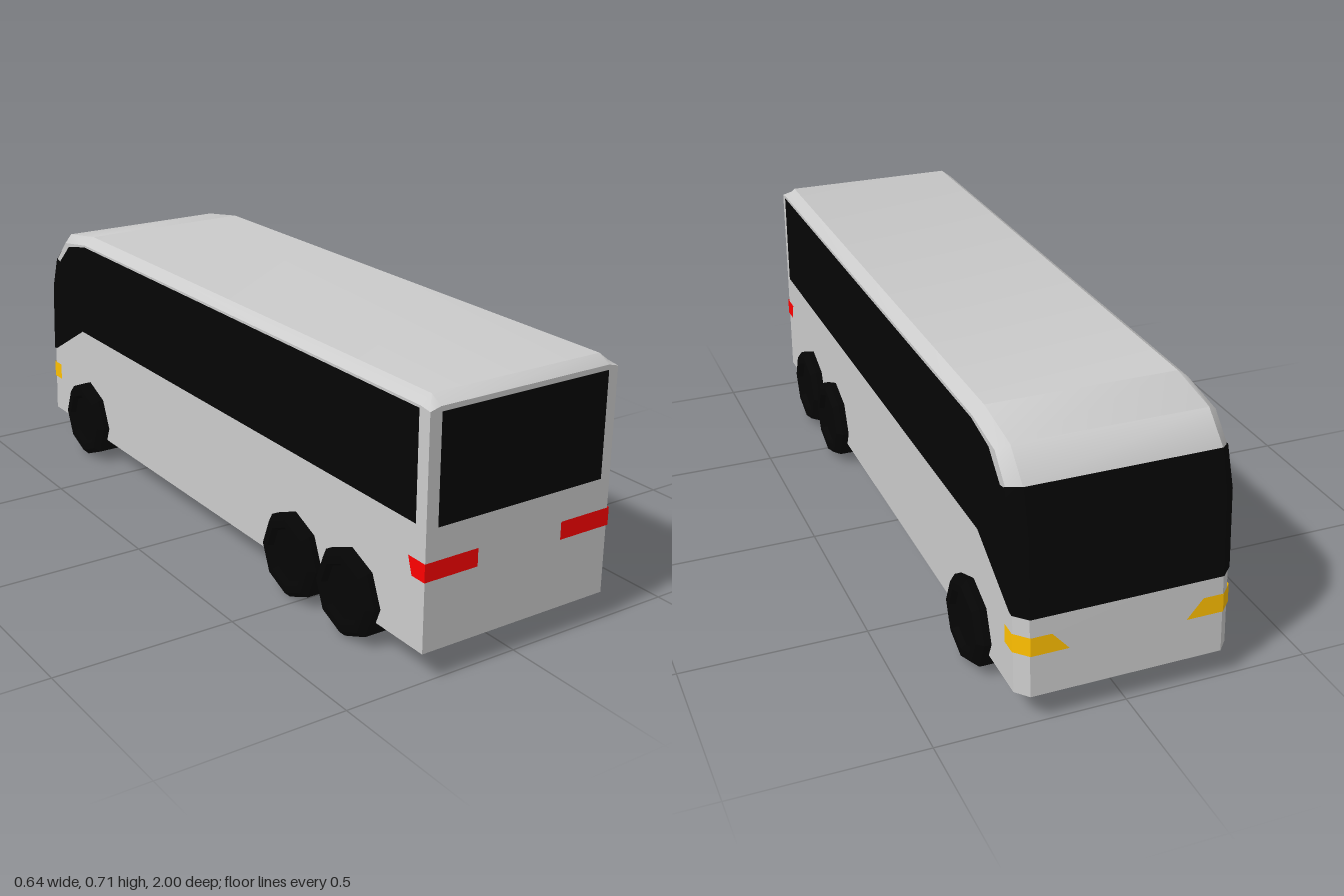
import * as THREE from 'three';
import { toCreasedNormals } from 'three/addons/utils/BufferGeometryUtils.js';

const paint = (color) => new THREE.MeshStandardMaterial({ color, side: THREE.DoubleSide });

// Skin a list of rows (each a list of [x, y, z]); closed rows get flat end caps.
function loft(rows, closed = false) {
  const n = rows[0].length;
  const index = [];
  for (let s = 0; s < rows.length - 1; s++) {
    for (let i = 0; i < (closed ? n : n - 1); i++) {
      const j = (i + 1) % n;
      const a = s * n + i, b = a + n, c = (s + 1) * n + j, d = s * n + j;
      index.push(a, b, c, a, c, d);
    }
  }
  if (closed) {
    const last = (rows.length - 1) * n;
    for (let i = 1; i < n - 1; i++) {
      index.push(0, i, i + 1, last, last + i + 1, last + i);
    }
  }
  const geometry = new THREE.BufferGeometry();
  geometry.setAttribute('position', new THREE.Float32BufferAttribute(rows.flat(2), 3));
  geometry.setIndex(index);
  return toCreasedNormals(geometry, 0.65);
}

export function createModel() {
  const model = new THREE.Group();
  model.name = 'coach';
  const grey = paint(0xcccccc), black = paint(0x050505);
  const red = paint(0xff0000), yellow = paint(0xffc000);

  const add = (name, geometry, material) => {
    const mesh = new THREE.Mesh(geometry, material);
    mesh.name = name;
    model.add(mesh);
    return mesh;
  };
  // One mesh on the +x side and its mirror image
  const addPair = (name, geometry, material) => {
    add(name + 'Left', geometry, material);
    add(name + 'Right', geometry, material).scale.x = -1;
  };
  const at = (x, profile) => profile.map(([z, y]) => [x, y, z]);

  // Body: lengthwise profiles [z, y], slightly smaller at the sides to bevel the edges
  const W = 0.285, C = 0.255;
  const middle = [[1, 0.077], [1, 0.69], [0.965, 0.71], [-0.7, 0.71], [-0.86, 0.685],
    [-0.935, 0.615], [-0.968, 0.5], [-0.986, 0.288], [-1, 0.077]];
  const side = [[1, 0.077], [1, 0.682], [0.965, 0.687], [-0.7, 0.687], [-0.84, 0.665],
    [-0.9, 0.605], [-0.937, 0.5], [-0.953, 0.288], [-0.967, 0.077]];
  add('body', loft([at(-W, side), at(-C, middle), at(C, middle), at(W, side)], true), grey);

  // Windscreen wrapping around the bevelled corners
  const gap = 0.003;
  const forward = (profile) => profile.slice(5, 8).map(([z, y]) => [z - gap, y]);
  const cornerGlass = forward(side);
  cornerGlass[0] = [-0.9, 0.602];
  add('windscreen', loft([at(-W - gap, cornerGlass), at(-C, forward(middle)),
    at(C, forward(middle)), at(W + gap, cornerGlass)]), black);

  // Side window bands
  const band = new THREE.Shape([[0.965, 0.4], [0.965, 0.682], [-0.7, 0.682], [-0.81, 0.66],
    [-0.88, 0.597], [-0.903, 0.602], [-0.94, 0.5], [-0.956, 0.288], [-0.94, 0.29], [-0.74, 0.4],
  ].map(([z, y]) => new THREE.Vector2(-z, y)));
  const bandGeometry = new THREE.ShapeGeometry(band);
  bandGeometry.rotateY(Math.PI / 2).translate(W + gap, 0, 0);
  addPair('sideWindow', bandGeometry, black);

  // Rear window
  const rearGlass = new THREE.PlaneGeometry(0.506, 0.282);
  add('rearWindow', rearGlass, black).position.set(0, 0.537, 1 + gap);

  // Tail lights folded around the rear corners
  const back = 1 + gap, out = W + gap;
  addPair('tailLight', loft([
    [[0.13, 0.264, back], [0.13, 0.312, back]],
    [[out, 0.264, back], [out, 0.312, back]],
    [[out, 0.264, 0.955], [out, 0.312, 0.94]],
  ]), red);

  // Headlights folded around the front corners
  addPair('headlight', loft([
    [[0.2, 0.24, -0.993], [0.155, 0.19, -0.996]],
    [[C, 0.24, -0.993], [C, 0.19, -0.996]],
    [[out, 0.24, -0.959], [out, 0.19, -0.962]],
    [[out, 0.24, -0.915], [out, 0.19, -0.915]],
  ]), yellow);

  // Eight-sided wheels with a recessed hub, one front axle and two rear axles
  const wheelProfile = [[0, 0], [0.12, 0], [0.12, 0.118], [0.104, 0.135], [0.083, 0.135],
    [0.074, 0.12], [0, 0.12]].map(([r, h]) => new THREE.Vector2(r, h));
  const wheel = toCreasedNormals(new THREE.LatheGeometry(wheelProfile, 8), 0.5);
  wheel.rotateZ(-Math.PI / 2);
  const axles = { front: -0.708, middle: 0.468, rear: 0.716 };
  for (const [name, z] of Object.entries(axles)) {
    addPair(name + 'Wheel', wheel.clone().translate(0.185, 0.12, z), black);
  }
  return model;
}
